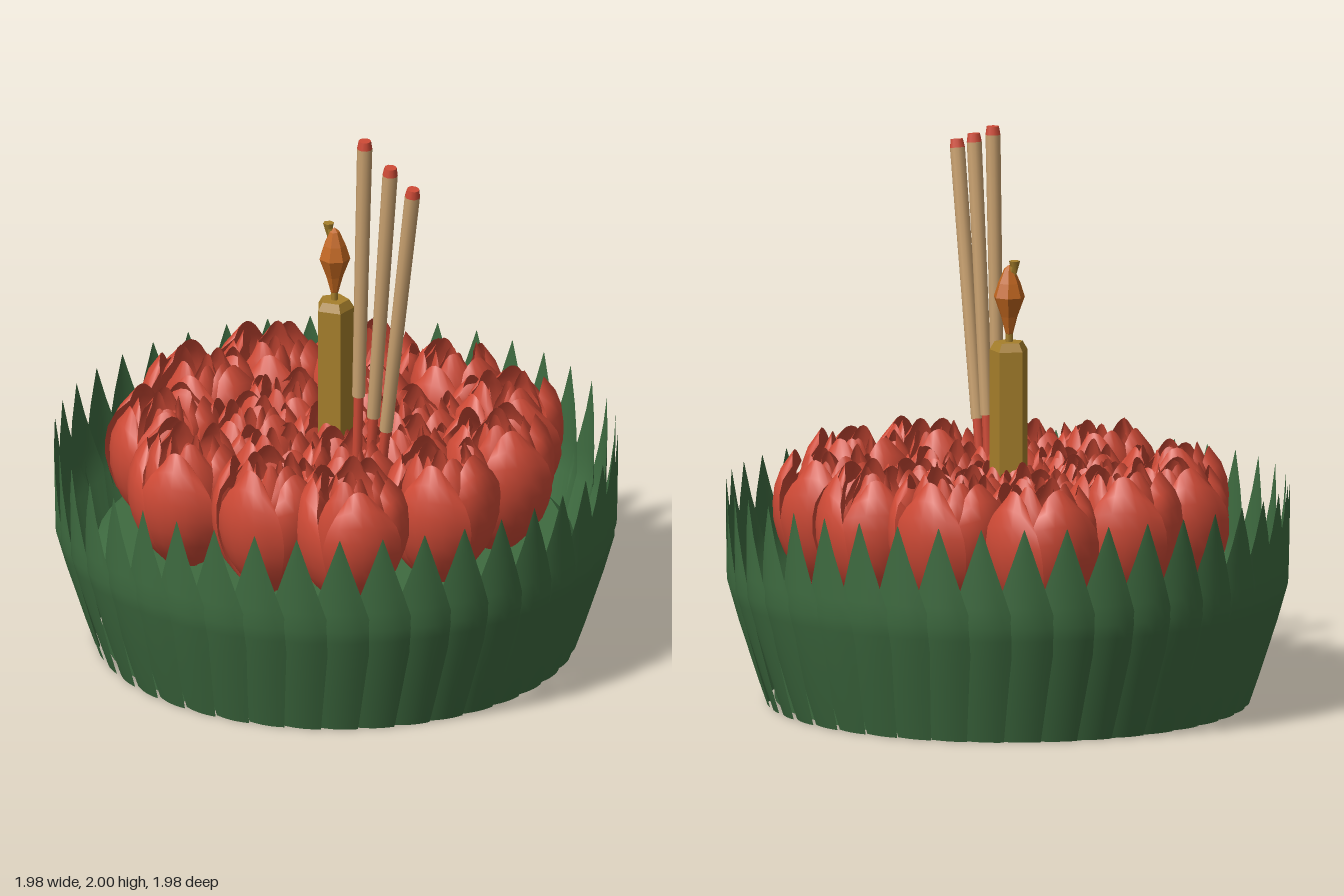
import * as THREE from 'three';

const mat = (name, color, side = THREE.FrontSide) => {
  const m = new THREE.MeshStandardMaterial({ color, side });
  m.name = name;
  return m;
};

// Small seeded generator for natural variation
function seeded(seed) {
  return () => {
    seed = (seed * 16807) % 2147483647;
    return seed / 2147483647;
  };
}

// Curved sheet: fn(u, v) with u in -1..1 and v in 0..1 returns [x, y, z]
function sheet(nu, nv, fn) {
  const pos = [], idx = [];
  for (let j = 0; j <= nv; j++)
    for (let i = 0; i <= nu; i++) pos.push(...fn((i / nu) * 2 - 1, j / nv));
  for (let j = 0; j < nv; j++)
    for (let i = 0; i < nu; i++) {
      const a = j * (nu + 1) + i, b = a + nu + 1;
      idx.push(a, a + 1, b, a + 1, b + 1, b);
    }
  const g = new THREE.BufferGeometry();
  g.setAttribute('position', new THREE.Float32BufferAttribute(pos, 3));
  g.setIndex(idx);
  g.computeVertexNormals();
  return g;
}

// Linear interpolation through [t, value] pairs
function curve(points, t) {
  for (let i = 1; i < points.length; i++) {
    const [t0, a] = points[i - 1], [t1, b] = points[i];
    if (t <= t1) return a + ((b - a) * (t - t0)) / (t1 - t0);
  }
  return points[points.length - 1][1];
}

export function createModel() {
  const model = new THREE.Group();
  model.name = 'floatingFlowerOffering';
  const green = mat('leafGreen', 0x3e6b40, THREE.DoubleSide);
  const red = mat('petalRed', 0xcf4a36, THREE.DoubleSide);
  const gold = mat('candleGold', 0xa67f2b);
  const orange = mat('flameOrange', 0xc0661f);
  const tan = mat('incenseTan', 0xcaa270);
  const rng = seeded(4711);

  const add = (parent, name, geometry, material) => {
    const m = new THREE.Mesh(geometry, material);
    m.name = name;
    parent.add(m);
    return m;
  };

  // Round base
  const baseProfile = [[0, 0.01], [0.82, 0.01], [0.82, 0.01], [0.84, 0.36], [0.84, 0.36], [0.8, 0.4], [0.8, 0.4], [0, 0.4]];
  add(model, 'base', new THREE.LatheGeometry(baseProfile.map(p => new THREE.Vector2(...p)), 48), green);

  // Ring of pointed, outward-leaning leaves
  const leafRows = [0, 0.1, 0.2, 0.3, 0.38, 0.43, 0.5, 0.56, 0.66, 0.785];
  const leafRadius = [[0, 0.85], [0.1, 0.885], [0.3, 0.95], [0.43, 0.987], [0.785, 0.993]];
  const leafWidth = [[0, 0.066], [0.3, 0.1], [0.43, 0.118], [0.56, 0.077], [0.785, 0.001]];
  const leafGeometry = sheet(6, leafRows.length - 1, (u, v) => {
    const y = leafRows[Math.round(v * (leafRows.length - 1))];
    const x = u * curve(leafWidth, y);
    return [x, y, curve(leafRadius, y) - 2.4 * x * x + 0.11 * x];
  });
  const leaves = new THREE.Group();
  leaves.name = 'leafRing';
  model.add(leaves);
  const leafCount = 41;
  for (let i = 0; i < leafCount; i++) {
    add(leaves, 'leaf', leafGeometry, green).rotation.y = Math.PI / 2 + (i * 2 * Math.PI) / leafCount;
  }

  // Cupped petal around its flower's axis
  const petalProfile = [[0, 0.07], [0.2, 0.155], [0.45, 0.2], [0.7, 0.205], [0.88, 0.175], [1, 0.135]];
  const petalGeometry = (scale, height, halfAngle) => sheet(6, 8, (u, v) => {
    const a = u * halfAngle * (1 - 0.5 * v ** 4);
    const r = scale * curve(petalProfile, v) * (1 + 0.06 * u);
    return [r * Math.sin(a), height * v - 0.05 * u * u * v ** 3, r * Math.cos(a)];
  });
  // Each row: petal geometry, number of petals
  const petalRows = [
    [petalGeometry(1, 0.48, 0.78), 5],
    [petalGeometry(0.7, 0.49, 0.85), 4],
    [petalGeometry(0.36, 0.47, 1.15), 3],
  ];
  const flowers = new THREE.Group();
  flowers.name = 'flowers';
  model.add(flowers);
  const addFlower = (x, z, y, size) => {
    const flower = new THREE.Group();
    flower.name = 'flower';
    flower.position.set(x, y, z);
    flower.scale.set(size, 1, size);
    flower.rotation.y = rng() * 6.28;
    petalRows.forEach(([geometry, count], row) => {
      for (let i = 0; i < count; i++) {
        const petal = add(flower, 'petal', geometry, red);
        petal.rotation.y = (i / count) * 2 * Math.PI + row * 0.6 + (rng() - 0.5) * 0.2;
        petal.scale.y = 0.95 + rng() * 0.07;
      }
    });
    flowers.add(flower);
  };
  // Outer ring, inner ring and centre
  const outer = [[-0.41, -0.5], [-0.09, -0.58], [0.23, -0.56], [0.5, -0.36], [0.59, -0.02], [0.49, 0.3],
    [0.24, 0.55], [-0.05, 0.57], [-0.41, 0.43], [-0.59, 0.13], [-0.57, -0.2]];
  outer.forEach(([x, z]) => addFlower(x, z, 0.4 + rng() * 0.035, 0.98 + rng() * 0.08));
  for (let i = 0; i < 7; i++) {
    const a = (i / 7) * 2 * Math.PI + 0.2;
    addFlower(0.3 * Math.cos(a), 0.3 * Math.sin(a), 0.39, 0.95);
  }
  addFlower(0, 0, 0.37, 0.95);

  // Faceted candle with a bevelled top
  const flat = g => {
    const f = g.toNonIndexed();
    f.computeVertexNormals();
    return f;
  };
  const lathe = (points, sides) => flat(new THREE.LatheGeometry(points.map(p => new THREE.Vector2(...p)), sides));
  const candle = new THREE.Group();
  candle.name = 'candle';
  candle.position.x = -0.005;
  model.add(candle);
  add(candle, 'candleBody', lathe([[0, 0.42], [0.07, 0.42], [0.07, 1.25], [0.052, 1.28], [0, 1.28]], 5), gold).rotation.y = Math.PI;

  // Wick, bending out of the flame
  const wickPath = new THREE.CatmullRomCurve3([[0, 1.26, 0], [0, 1.4, 0], [-0.005, 1.5, 0], [-0.025, 1.565, 0]]
    .map(p => new THREE.Vector3(...p)));
  add(candle, 'wick', new THREE.TubeGeometry(wickPath, 8, 0.013, 6), gold);
  add(candle, 'wickTip', new THREE.ConeGeometry(0.02, 0.07, 6).rotateX(Math.PI), gold).position.set(-0.022, 1.535, 0);

  // Flame
  add(candle, 'flame', lathe([[0, 1.29], [0.014, 1.31], [0.03, 1.37], [0.056, 1.44], [0.04, 1.49], [0.018, 1.54], [0, 1.555]], 7), orange);

  // Three incense sticks: [tip, lower end of the tan coating]
  const sticks = [
    [[0.18, 2.0, 0.21], [0.15, 1.01, 0.19]],
    [[0.305, 1.95, 0.295], [0.222, 0.96, 0.24]],
    [[0.412, 1.91, 0.362], [0.283, 0.935, 0.282]],
  ];
  sticks.forEach(([tip, low]) => {
    const top = new THREE.Vector3(...tip), bottom = new THREE.Vector3(...low);
    const length = top.distanceTo(bottom);
    const stick = new THREE.Group();
    stick.name = 'incenseStick';
    stick.position.copy(bottom);
    stick.quaternion.setFromUnitVectors(new THREE.Vector3(0, 1, 0), top.sub(bottom).normalize());
    add(stick, 'incenseCoating', new THREE.CylinderGeometry(0.027, 0.023, length - 0.03, 10), tan).position.y = (length - 0.03) / 2;
    add(stick, 'incenseTip', new THREE.CylinderGeometry(0.022, 0.027, 0.03, 10), red).position.y = length - 0.015;
    add(stick, 'incenseHandle', new THREE.CylinderGeometry(0.018, 0.018, 0.46, 8), red).position.y = -0.22;
    model.add(stick);
  });

  return model;
}
